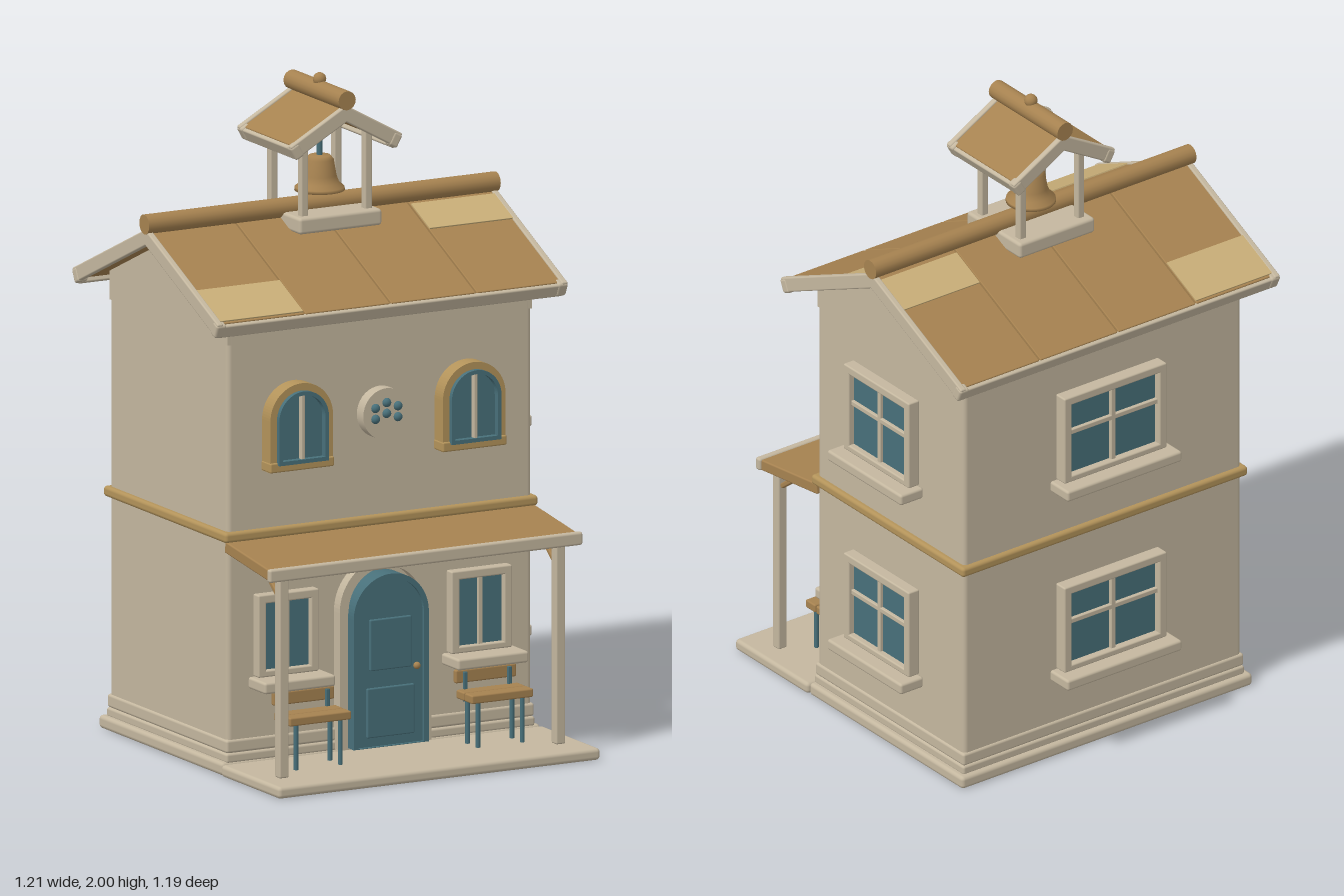
import * as THREE from 'three';
import { RoundedBoxGeometry } from 'three/addons/geometries/RoundedBoxGeometry.js';

const mat = (name, color) => Object.assign(new THREE.MeshStandardMaterial({ color }), { name });

export function createModel() {
  const cream = mat('cream', 0xc4b79f), brown = mat('brown', 0xa68250), tan = mat('tan', 0xc8ae78);
  const ochre = mat('ochre', 0xb3935a), teal = mat('teal', 0x48707a);
  const model = new THREE.Group();
  model.name = 'bellHouse';
  const house = new THREE.Group();
  house.name = 'house';
  house.position.x = -0.013;
  model.add(house);

  const add = (parent, name, geo, m, x = 0, y = 0, z = 0) => {
    const mesh = new THREE.Mesh(geo, m);
    mesh.name = name;
    mesh.position.set(x, y, z);
    parent.add(mesh);
    return mesh;
  };
  const group = (parent, name, x = 0, y = 0, z = 0) => {
    const g = new THREE.Group();
    g.name = name;
    g.position.set(x, y, z);
    parent.add(g);
    return g;
  };
  // Softly bevelled box, centred
  const box = (parent, name, m, w, h, d, x, y, z, r = 0.005) =>
    add(parent, name, new RoundedBoxGeometry(w, h, d, 2, Math.min(r, w / 3, h / 3, d / 3)), m, x, y, z);
  const rod = (parent, name, m, r, len, x, y, z) =>
    add(parent, name, new THREE.CylinderGeometry(r, r, len, 16), m, x, y, z);

  // Round-headed outline standing on y = 0
  const archPath = (P, w, h, y0 = 0) => {
    const p = new P();
    p.moveTo(-w / 2, y0);
    p.lineTo(w / 2, y0);
    p.lineTo(w / 2, h - w / 2);
    p.absarc(0, h - w / 2, w / 2, 0, Math.PI, false);
    p.lineTo(-w / 2, y0);
    return p;
  };
  const extrude = (shape, depth) =>
    new THREE.ExtrudeGeometry(shape, { depth, bevelEnabled: false, curveSegments: 20 });
  const archRing = (w, h, t, depth, open = false) => {
    const s = archPath(THREE.Shape, w, h);
    s.holes.push(archPath(THREE.Path, w - 2 * t, h - t, open ? 0.002 : t));
    return extrude(s, depth);
  };

  // Square window facing +z: frame, glass, glazing bars and sill
  function squareWindow(name, w, h, sillW, sillD, depth, cross, x, y, z, turn = 0) {
    const g = group(house, name, x, y, z);
    g.rotation.y = turn;
    const t = 0.027;
    for (const s of [-1, 1]) box(g, 'frameSide', cream, t, h, depth, s * (w - t) / 2, h / 2, depth / 2);
    box(g, 'frameTop', cream, w, t, depth, 0, h - t / 2, depth / 2);
    box(g, 'frameBottom', cream, w, 0.02, depth, 0, 0.01, depth / 2);
    box(g, 'glass', teal, w - 0.02, h - 0.02, depth * 0.5, 0, h / 2, depth * 0.25, 0.001);
    box(g, 'uprightBar', cream, 0.016, h - 0.03, depth * 0.75, 0, h / 2, depth * 0.375, 0.003);
    if (cross) box(g, 'crossBar', cream, w - 0.03, 0.016, depth * 0.75, 0, h * 0.56, depth * 0.375, 0.003);
    box(g, 'sill', cream, sillW, 0.035, sillD, 0, -0.0175, sillD / 2, 0.008);
  }

  // Gable roof with its ridge along x: slopes, barge boards, eaves and ridge pole
  function gableRoof(name, len, run, angle, peak, z, panels, ridgeR) {
    const g = group(house, name, 0, peak, z);
    const L = run / Math.cos(angle), inner = len - 0.03, step = inner / panels;
    for (const s of [-1, 1]) {
      const slope = group(g, s > 0 ? 'frontSlope' : 'backSlope');
      slope.rotation.x = s * angle;
      for (let i = 0; i < panels; i++) {
        const x = (i - (panels - 1) / 2) * step;
        box(slope, 'roofPanel', brown, step - (panels > 1 ? 0.005 : 0), 0.025, L - 0.012, x, -0.018, s * (L - 0.012) / 2, 0.003);
        const patch = panels > 1 && { 0: [0.31, 0.468], 3: [0.03, 0.155] }[i];
        if (patch) box(slope, 'lightTiles', tan, step - 0.007, 0.006, patch[1] - patch[0], x, -0.004, s * (patch[0] + patch[1]) / 2, 0.001);
      }
      box(slope, 'roofLining', brown, inner, 0.01, L - 0.015, 0, -0.032, s * (L - 0.015) / 2, 0.002);
      box(slope, 'eaveBoard', cream, len - 0.02, 0.042, 0.018, 0, -0.03, s * (L - 0.009));
      for (const e of [-1, 1]) {
        box(slope, 'bargeBoard', cream, 0.02, 0.045, L, e * (len / 2 - 0.012), -0.0225, s * L / 2);
        box(slope, 'eaveCorner', cream, 0.034, 0.045, 0.032, e * (len / 2 - 0.017), -0.026, s * (L - 0.013), 0.008);
      }
    }
    rod(g, 'ridgePole', brown, ridgeR, len, 0, ridgeR * 0.5, 0).rotation.z = Math.PI / 2;
    return g;
  }

  // Base, walls and bands
  const midZ = -0.128;
  box(house, 'foundation', cream, 1.08, 0.04, 0.75, 0, 0.02, -0.135, 0.012);
  box(house, 'porchFloor', cream, 1.09, 0.036, 0.355, 0, 0.018, 0.4175, 0.012);
  box(house, 'walls', cream, 1.03, 1.36, 0.715, 0, 0.68, midZ, 0.015);
  box(house, 'lowerPlinth', cream, 1.045, 0.03, 0.73, 0, 0.05, midZ, 0.008);
  box(house, 'baseboard', cream, 1.042, 0.04, 0.727, 0, 0.085, midZ, 0.008);
  box(house, 'floorBand', ochre, 1.06, 0.032, 0.745, 0, 0.719, midZ, 0.012);
  const gable = new THREE.Shape([[-0.357, 1.3], [0.357, 1.3], [0.357, 1.39], [0, 1.55], [-0.357, 1.39]]
    .map(([x, y]) => new THREE.Vector2(x, y)));
  add(house, 'gableWalls', extrude(gable, 1.03), cream, -0.515, 0, midZ).rotation.y = Math.PI / 2;

  // Main roof
  gableRoof('mainRoof', 1.19, 0.443, Math.atan(0.46), 1.59, midZ - 0.004, 4, 0.03);

  // Belfry
  const bz = -0.135;
  box(house, 'belfryBase', cream, 0.28, 0.05, 0.262, 0, 1.572, bz, 0.01);
  for (const x of [-1, 1]) for (const z of [-1, 1])
    box(house, 'belfryPost', cream, 0.025, 0.25, 0.025, x * 0.108, 1.71, bz + z * 0.093);
  gableRoof('belfryRoof', 0.335, 0.19, Math.atan(0.56), 1.932, bz, 1, 0.029).rotation.y = Math.PI / 2;
  add(house, 'finial', new THREE.SphereGeometry(0.02, 16, 12), brown, 0, 1.98, bz);
  const bellProfile = [[0, 1.752], [0.032, 1.75], [0.042, 1.738], [0.05, 1.69], [0.058, 1.668], [0.074, 1.655],
    [0.075, 1.645], [0.066, 1.645], [0.045, 1.69], [0, 1.72]].map(([x, y]) => new THREE.Vector2(x, y)).reverse();
  add(house, 'bell', new THREE.LatheGeometry(bellProfile, 28), brown, 0, 0, bz);
  rod(house, 'bellHanger', teal, 0.009, 0.17, 0, 1.82, bz);
  rod(house, 'clapperRod', teal, 0.006, 0.08, 0, 1.69, bz);
  add(house, 'clapper', new THREE.SphereGeometry(0.017, 14, 10), brown, 0, 1.65, bz);

  // Porch canopy with posts and braces
  const canopy = group(house, 'canopy', 0, 0.69, 0.225);
  canopy.rotation.x = 0.13;
  box(canopy, 'canopyRoof', brown, 1.045, 0.035, 0.28, 0, 0, 0.14);
  box(house, 'canopyFascia', cream, 1.06, 0.04, 0.022, 0, 0.657, 0.503, 0.008);
  for (const s of [-1, 1]) {
    box(house, 'porchPost', cream, 0.032, 0.61, 0.032, s * 0.468, 0.341, 0.475);
    box(house, 'canopyBrace', brown, 0.02, 0.11, 0.016, s * 0.468, 0.617, 0.418).rotation.x = -0.9;
  }

  // Side and back windows on both floors
  for (const y of [0.295, 0.93]) {
    squareWindow('sideWindow', 0.32, 0.285, 0.362, 0.085, 0.04, true, 0.534, y, -0.133, Math.PI / 2);
    squareWindow('backWindow', 0.38, 0.285, 0.425, 0.09, 0.045, true, 0, y, -0.505, Math.PI);
  }

  for (const s of [-1, 1]) {
    squareWindow('porchWindow', 0.205, 0.25, 0.24, 0.105, 0.035, false, s * 0.327, 0.29, 0.23);

    // Arched upper window
    const w = group(house, 'archedWindow', s * 0.292, 0.91, 0.225);
    add(w, 'archFrame', archRing(0.212, 0.262, 0.025, 0.055), ochre);
    add(w, 'archSash', archRing(0.168, 0.218, 0.012, 0.07), teal, 0, 0.022);
    add(w, 'archGlass', extrude(archPath(THREE.Shape, 0.165, 0.215), 0.05), teal, 0, 0.022);
    box(w, 'archBar', cream, 0.012, 0.2, 0.02, 0, 0.13, 0.055, 0.003);
    box(w, 'archSill', ochre, 0.216, 0.03, 0.06, 0, 0.015, 0.03);

    // Bench
    const b = group(house, 'bench', s * 0.308, 0, 0);
    box(b, 'benchBack', brown, 0.205, 0.04, 0.018, 0, 0.235, 0.315);
    for (const z of [0.35, 0.401]) box(b, 'benchSeatSlat', brown, 0.208, 0.026, 0.047, 0, 0.185, z);
    for (const x of [-0.075, 0.075]) {
      rod(b, 'benchFrontLeg', teal, 0.007, 0.145, x, 0.105, 0.408);
      rod(b, 'benchBackLeg', teal, 0.007, 0.145, x, 0.105, 0.345);
      box(b, 'benchBackSupport', teal, 0.012, 0.09, 0.01, x, 0.205, 0.33, 0.002);
    }
  }

  // Door with raised panels
  const door = group(house, 'door', 0, 0.04, 0.225);
  add(door, 'doorSurround', archRing(0.31, 0.572, 0.03, 0.04, true), cream);
  add(door, 'doorLeaf', extrude(archPath(THREE.Shape, 0.254, 0.522), 0.065), teal, 0, 0.005);
  add(door, 'doorEdge', archRing(0.254, 0.522, 0.016, 0.075, true), teal, 0, 0.005);
  box(door, 'upperPanel', teal, 0.14, 0.155, 0.014, 0, 0.315, 0.067, 0.004);
  box(door, 'lowerPanel', teal, 0.16, 0.15, 0.014, 0, 0.11, 0.067, 0.004);
  add(door, 'doorKnob', new THREE.SphereGeometry(0.011, 12, 10), brown, 0.085, 0.24, 0.078);

  // Round plaque with six studs
  add(house, 'plaque', new THREE.CylinderGeometry(0.078, 0.078, 0.04, 36), cream, 0, 1.045, 0.25).rotation.x = Math.PI / 2;
  for (const x of [-0.038, 0, 0.038]) for (const y of [1.033, 1.066]) {
    const stud = add(house, 'plaqueStud', new THREE.SphereGeometry(0.014, 12, 10), teal, x, y + (x ? 0 : 0.014), 0.272);
    stud.scale.z = 0.9;
  }
  return model;
}
